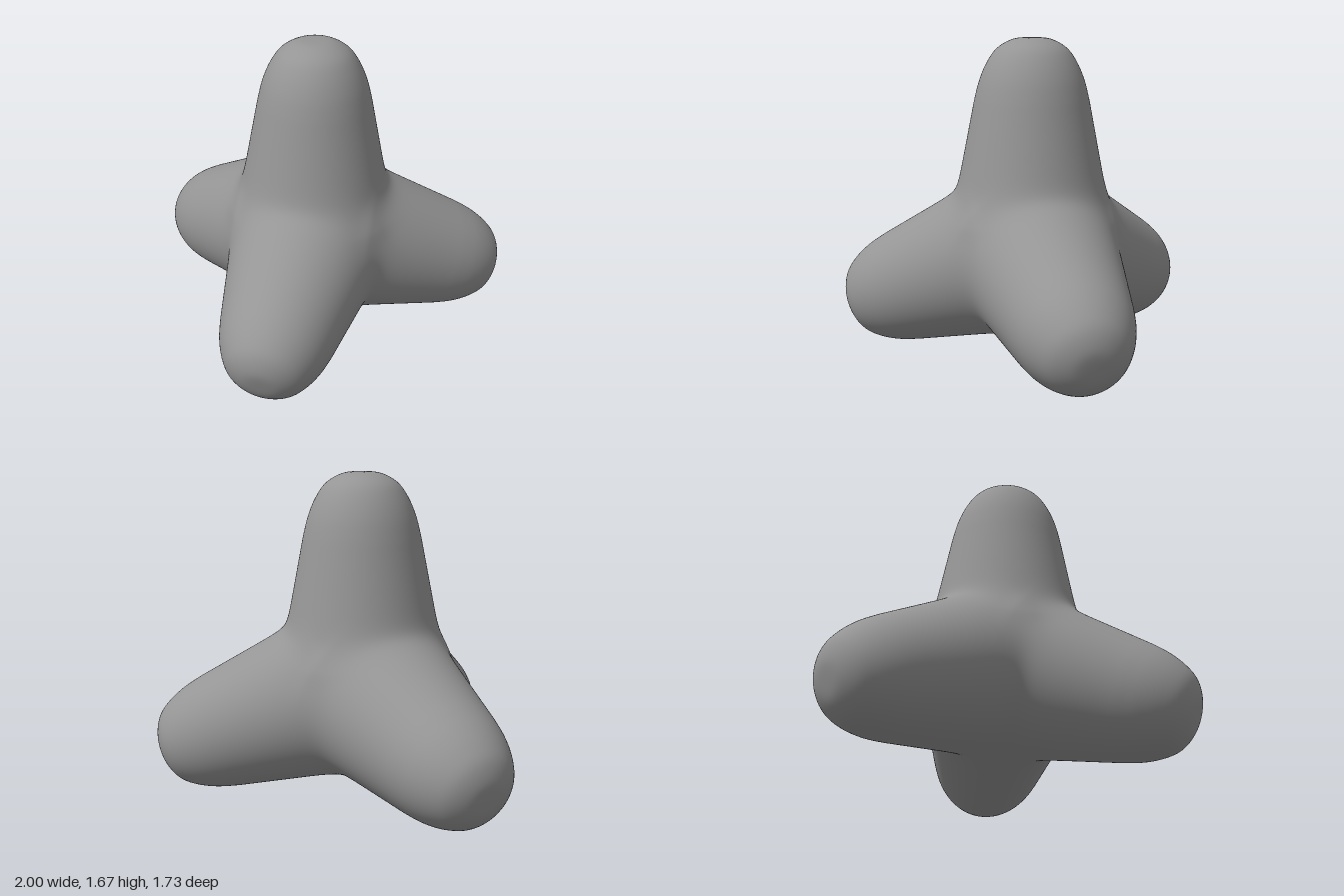
import * as THREE from 'three';
import { mergeVertices } from 'three/addons/utils/BufferGeometryUtils.js';

const CENTRE = new THREE.Vector3(0, 0.57, -0.18);

// Limb profile (distance along axis, radius): a blunt cap ending on a straight cone
const R0 = 0.473, TAPER = 0.2;
const cap = new THREE.SplineCurve([
  [1.11, 0], [1.102, 0.1], [1.055, 0.19], [0.98, 0.247], [0.885, 0.289], [0.78, 0.317],
].map(([d, r]) => new THREE.Vector2(d, r))).getPoints(50)
  .map((p) => ({ angle: Math.atan2(p.y, p.x), reach: p.length() }));

// Distance from the hub to the limb surface at an angle from the limb's axis
function profileReach(angle) {
  const i = cap.findIndex((p) => p.angle >= angle);
  if (i < 0) {
    // The cone fades out smoothly behind the hub
    const cone = R0 / Math.max(0.2, Math.sin(angle) + TAPER * Math.cos(angle));
    return Math.max(0, cone - 1.3 * Math.max(0, angle - 1.25) ** 2);
  }
  if (i === 0) return cap[0].reach;
  const a = cap[i - 1], b = cap[i];
  return THREE.MathUtils.mapLinear(angle, a.angle, b.angle, a.reach, b.reach);
}

// Four limbs pointing to the corners of a tetrahedron
function limb(azimuth, y, length, width) {
  const h = Math.sqrt(1 - y * y), a = THREE.MathUtils.degToRad(azimuth);
  return { axis: new THREE.Vector3(Math.sin(a) * h, y, Math.cos(a) * h), length, width };
}
const limbs = [
  limb(0, 1, 1, 0.96),
  limb(0, -0.342, 0.978, 0.98),
  limb(118, -0.325, 1.015, 0.98),
  limb(-119.3, -0.295, 1.015, 0.99),
];

function limbReach(dir, { axis, length, width }) {
  const c = dir.dot(axis);
  const along = c / length, across = Math.sqrt(Math.max(0, 1 - c * c)) / width;
  return profileReach(Math.atan2(across, along)) / Math.hypot(along, across);
}

export function createModel() {
  const group = new THREE.Group();
  group.name = 'tetrapod';

  // Push a sphere out to the limbs, with soft fillets where they meet
  let geometry = new THREE.IcosahedronGeometry(1, 60);
  geometry.deleteAttribute('normal');
  geometry.deleteAttribute('uv');
  geometry = mergeVertices(geometry, 1e-5);
  const pos = geometry.attributes.position;
  const dir = new THREE.Vector3(), BLEND = 0.026;
  for (let i = 0; i < pos.count; i++) {
    dir.fromBufferAttribute(pos, i).normalize();
    const sum = limbs.reduce((s, l) => s + Math.exp(limbReach(dir, l) / BLEND), 0);
    dir.multiplyScalar(BLEND * Math.log(sum)).add(CENTRE);
    pos.setXYZ(i, dir.x, dir.y, dir.z);
  }
  geometry.computeVertexNormals();

  const body = new THREE.Mesh(geometry, new THREE.MeshStandardMaterial({ color: 0x959595 }));
  body.name = 'fourLimbedBody';
  group.add(body);
  return group;
}
